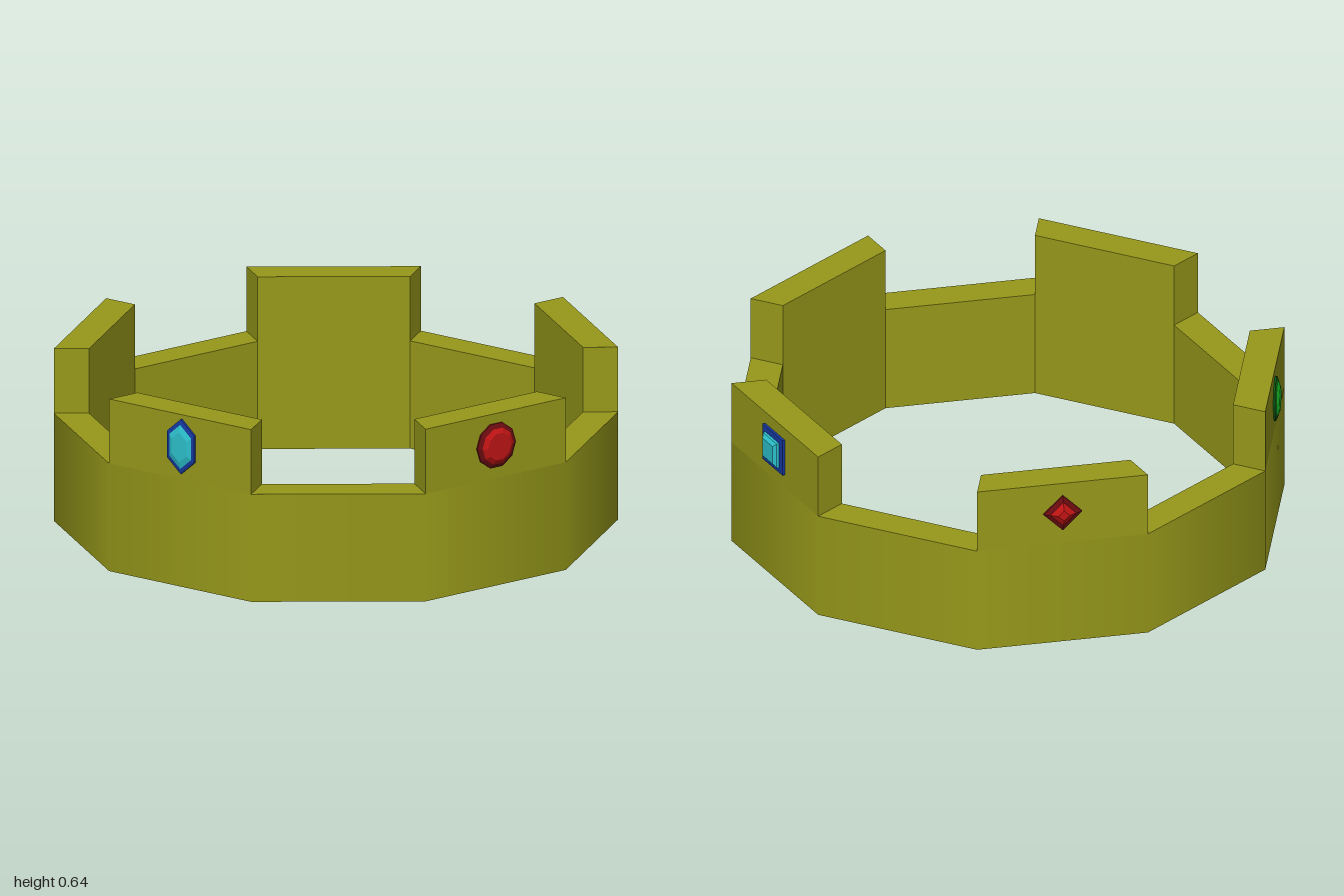
import * as THREE from 'three';

const SIDES = 10, OUTER = 1, INNER = 0.875, BAND = 0.4, TOP = 0.64;
const APOTHEM = OUTER * Math.cos(Math.PI / SIDES);

const material = (color, flatShading = true) => new THREE.MeshStandardMaterial({ color, flatShading });

// Flat-shaded geometry from a list of polygons (corners counter-clockwise)
function polygons(list) {
  const pos = [];
  for (const p of list)
    for (let i = 1; i < p.length - 1; i++)
      for (const v of [p[0], p[i], p[i + 1]]) pos.push(...v);
  const g = new THREE.BufferGeometry();
  g.setAttribute('position', new THREE.Float32BufferAttribute(pos, 3));
  g.computeVertexNormals();
  return g;
}

function mesh(name, geometry, mat) {
  const m = new THREE.Mesh(geometry, mat);
  m.name = name;
  return m;
}

// Point on the ring at corner i
function corner(i, r, y) {
  const a = ((i - 0.5) * 2 * Math.PI) / SIDES;
  return [r * Math.sin(a), y, r * Math.cos(a)];
}

// Stacked outline: layers are [scale, depth] pairs, capped at the front
function facets(outline, layers) {
  const rings = layers.map(([s, d]) => outline.map(([x, y]) => [x * s, y * s, d]));
  const faces = [rings[rings.length - 1]];
  for (let k = 0; k < rings.length - 1; k++)
    outline.forEach((_, i) => {
      const j = (i + 1) % outline.length;
      faces.push([rings[k][i], rings[k][j], rings[k + 1][j], rings[k + 1][i]]);
    });
  return polygons(faces);
}

// Regular outline with n corners, stretched to half sizes w and h
function oval(n, w, h, turn = 0) {
  return Array.from({ length: n }, (_, i) => {
    const a = (i / n) * 2 * Math.PI + turn;
    return [w * Math.cos(a), h * Math.sin(a)];
  });
}

function jewel(name, face, outline, rimColor, stoneColor, rim, stone, shift = 0) {
  const g = new THREE.Group();
  g.name = name;
  g.add(mesh('jewelSetting', facets(outline, rim), material(rimColor)));
  g.add(mesh('jewelStone', facets(outline, stone), material(stoneColor)));
  const a = (face * 2 * Math.PI) / SIDES;
  g.rotation.y = a;
  g.position.set(APOTHEM * Math.sin(a) + shift, 0.523, APOTHEM * Math.cos(a));
  return g;
}

export function createModel() {
  const model = new THREE.Group();
  model.name = 'crown';
  const crown = new THREE.Group();
  crown.name = 'crownBody';
  crown.position.z = -0.01;
  model.add(crown);

  const gold = material(0x96981a);

  // Outer band, smooth all round
  const band = new THREE.CylinderGeometry(OUTER, OUTER, BAND, SIDES, 1, true, Math.PI / SIDES);
  band.translate(0, BAND / 2, 0);
  crown.add(mesh('outerBand', band, material(0x96981a, false)));

  // Inner wall, underside and the low rims between the merlons
  const ring = [];
  for (let i = 0; i < SIDES; i++) {
    const o = (k, y) => corner(i + k, OUTER, y), n = (k, y) => corner(i + k, INNER, y);
    ring.push([n(1, 0), n(0, 0), n(0, BAND), n(1, BAND)]);
    ring.push([o(0, 0), n(0, 0), n(1, 0), o(1, 0)]);
    if (i % 2) ring.push([o(0, BAND), o(1, BAND), n(1, BAND), n(0, BAND)]);
  }
  crown.add(mesh('innerBand', polygons(ring), gold));

  // Raised merlons on every other side
  for (let i = 0; i < SIDES; i += 2) {
    const o = (k, y) => corner(i + k, OUTER, y), n = (k, y) => corner(i + k, INNER, y);
    crown.add(mesh('merlon', polygons([
      [o(0, BAND), o(1, BAND), o(1, TOP), o(0, TOP)],
      [n(1, BAND), n(0, BAND), n(0, TOP), n(1, TOP)],
      [o(0, TOP), o(1, TOP), n(1, TOP), n(0, TOP)],
      [n(0, BAND), o(0, BAND), o(0, TOP), n(0, TOP)],
      [o(1, BAND), n(1, BAND), n(1, TOP), o(1, TOP)],
    ]), gold));
  }

  // One differently cut jewel per merlon
  const hexagon = [[0.059, -0.05], [0.059, 0.05], [0, 0.102], [-0.059, 0.05], [-0.059, -0.05], [0, -0.102]];
  crown.add(
    jewel('hexagonJewel', 0, hexagon, 0x1638a0, 0x2cc0cc,
      [[1, 0], [1, 0.008], [0.84, 0.011]], [[0.84, 0.01], [0.55, 0.018]], 0.008),
    jewel('roundJewel', 2, oval(10, 0.085, 0.085), 0x6a0c10, 0xc01414,
      [[1, 0], [1, 0.006], [0.82, 0.014]], [[0.82, 0.013], [0.6, 0.025]]),
    jewel('squareJewel', 4, oval(4, 0.1, 0.1, Math.PI / 4), 0x1638a0, 0x2cc0cc,
      [[1, 0], [1, 0.01], [0.7, 0.011]], [[0.7, 0.01], [0.68, 0.02], [0.5, 0.03]]),
    jewel('diamondJewel', 6, oval(4, 0.07, 0.07), 0x6a0c10, 0xc01414,
      [[1, 0], [1, 0.006], [0.7, 0.014]], [[0.7, 0.013], [0.3, 0.028]]),
    jewel('ovalJewel', 8, oval(12, 0.055, 0.088), 0x0a5a12, 0x12b020,
      [[1, 0], [1, 0.006], [0.82, 0.012]], [[0.82, 0.011], [0.55, 0.02]]),
  );
  return model;
}
